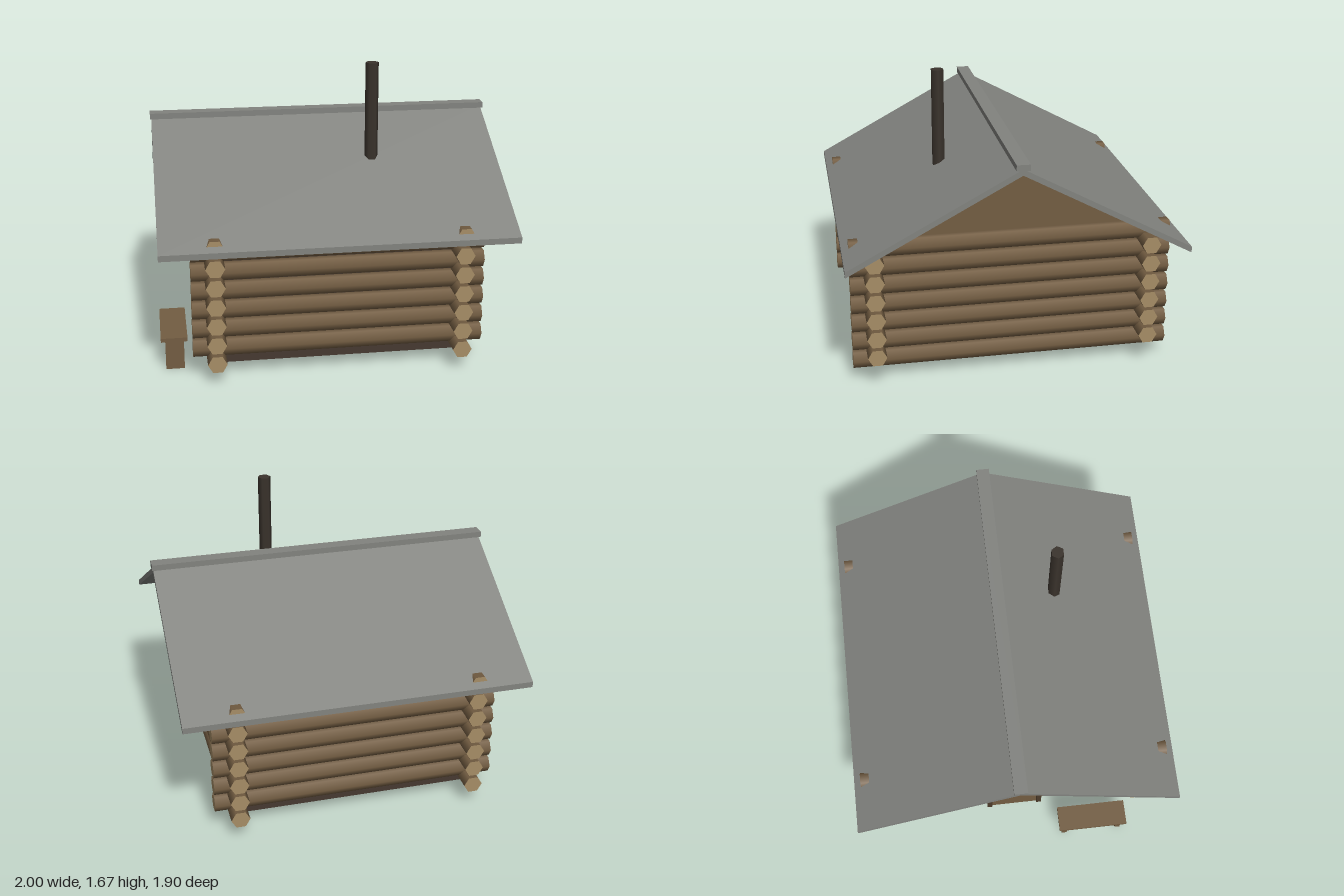
import * as THREE from 'three';

const paint = (name, color) => {
  const m = new THREE.MeshStandardMaterial({ color });
  m.name = name;
  return m;
};

export function createModel() {
  const cabin = new THREE.Group();
  cabin.name = 'logCabin';

  const bark = paint('bark brown', 0x735d42);
  const cutWood = paint('cut wood', 0xa68d66);
  const darkWood = paint('dark wood', 0x463930);
  const trim = paint('trim brown', 0x4c3c2b);
  const slate = paint('roof grey', 0x82837f);
  const iron = paint('chimney iron', 0x3a332c);
  const glass = paint('window glass', 0x2d2f2f);

  const add = (name, geometry, material, parent = cabin) => {
    const mesh = new THREE.Mesh(geometry, material);
    mesh.name = name;
    parent.add(mesh);
    return mesh;
  };
  // Box given by its minimum and maximum on each axis
  const box = (name, material, [x0, x1], [y0, y1], [z0, z1], parent) =>
    add(name, new THREE.BoxGeometry(x1 - x0, y1 - y0, z1 - z0), material, parent)
      .position.set((x0 + x1) / 2, (y0 + y1) / 2, (z0 + z1) / 2);
  // Profile in the z-y plane, extruded along x and centred
  const extrudeAlongX = (points, length) => {
    const shape = new THREE.Shape(points.map(([z, y]) => new THREE.Vector2(z, y)));
    const g = new THREE.ExtrudeGeometry(shape, { depth: length, bevelEnabled: false });
    return g.translate(0, 0, -length / 2).rotateY(Math.PI / 2);
  };

  // Dark core that fills the gaps between logs and closes the floor
  box('core', darkWood, [-0.67, 0.67], [0.07, 0.85], [-0.765, 0.765]);

  // Interlocking hexagonal logs, side walls half a step below the front and back
  const walls = new THREE.Group();
  walls.name = 'logWalls';
  cabin.add(walls);
  const step = 0.1125, radius = 0.054;
  const sideLog = new THREE.CylinderGeometry(radius, radius, 1.82, 6, 1, false, Math.PI / 6).rotateX(Math.PI / 2);
  const frontLog = new THREE.CylinderGeometry(radius, radius, 1.64, 6).rotateZ(Math.PI / 2);
  const logColours = [bark, cutWood, cutWood];
  for (const s of [-1, 1]) {
    for (let i = 0; i < 7; i++)
      add('sideLog', sideLog, logColours, walls).position.set(0.69 * s, 0.125 + i * step, 0);
    for (let i = 0; i < 6; i++)
      add('crossLog', frontLog, logColours, walls).position.set(0, 0.181 + i * step, 0.78 * s);
  }

  // Gables and roof
  add('gables', extrudeAlongX([[-0.79, 0.85], [0.79, 0.85], [0, 1.277]], 1.38), bark);
  add('roof', extrudeAlongX([
    [-0.95, 0.763], [0, 1.275], [0.95, 0.763], [0.95, 0.797], [0, 1.31], [-0.95, 0.797],
  ], 1.985), slate);
  box('ridgeCap', slate, [-1, 1], [1.303, 1.337], [-0.038, 0.038]);

  // Stove pipe through the front slope
  add('chimney', new THREE.CylinderGeometry(0.038, 0.038, 0.6, 6, 1, false, Math.PI / 6), iron)
    .position.set(0.257, 1.37, 0.345);

  // Door with its frame on the right wall
  const door = new THREE.Group();
  door.name = 'door';
  cabin.add(door);
  box('doorPanel', bark, [-0.76, -0.68], [0.09, 0.78], [-0.145, 0.145], door);
  for (const s of [-1, 1])
    box('doorPost', trim, [-0.775, -0.68], [0.11, 0.8], [s * 0.157 - 0.015, s * 0.157 + 0.015], door);
  box('doorLintel', trim, [-0.775, -0.68], [0.775, 0.8], [-0.15, 0.15], door);

  // Window beside the door
  const win = new THREE.Group();
  win.name = 'window';
  cabin.add(win);
  box('windowPane', glass, [-0.765, -0.68], [0.48, 0.645], [-0.625, -0.405], win);
  for (const z of [-0.632, -0.398])
    box('windowPost', trim, [-0.772, -0.68], [0.465, 0.66], [z - 0.008, z + 0.008], win);
  for (const y of [0.473, 0.652])
    box('windowRail', trim, [-0.772, -0.68], [y - 0.008, y + 0.008], [-0.625, -0.405], win);

  // Bench against the right wall
  const bench = new THREE.Group();
  bench.name = 'bench';
  cabin.add(bench);
  box('benchSeat', bark, [-0.995, -0.845], [0.177, 0.2], [0.265, 0.69], bench);
  for (const z of [0.305, 0.65])
    box('benchLeg', bark, [-0.97, -0.865], [0, 0.177], [z - 0.016, z + 0.016], bench);

  return cabin;
}
